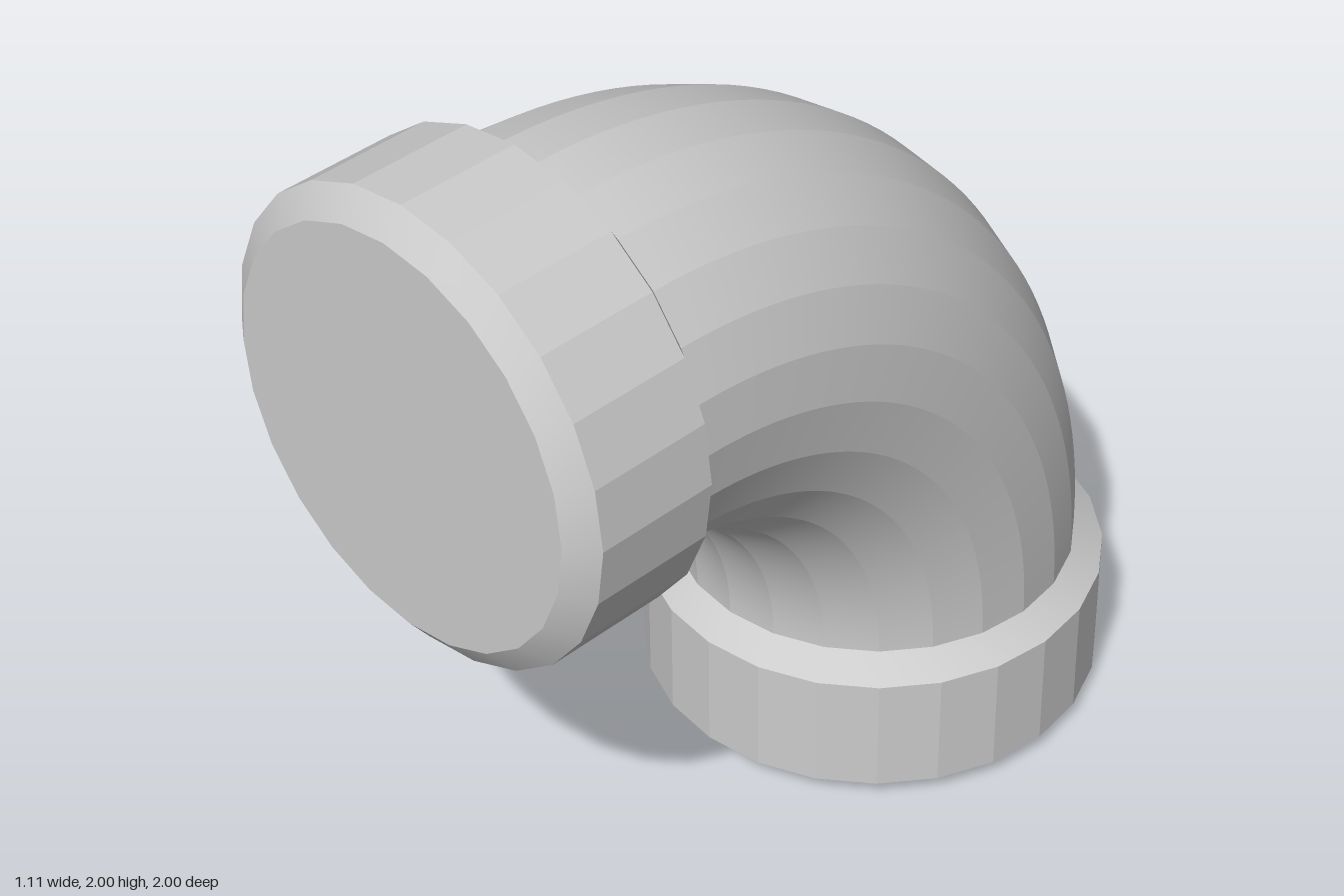
import * as THREE from 'three';
import { toCreasedNormals } from 'three/addons/utils/BufferGeometryUtils.js';

const SIDES = 24;
const BEND_RADIUS = 1.04;
const PIPE_RADIUS = 0.485;
const COLLAR_RADIUS = 0.556;
const COLLAR_LENGTH = 0.4;
const BEVEL = 0.05;
const CREASE = 0.2; // facets around the pipe stay sharp, the sweep stays smooth

export function createModel() {
  const group = new THREE.Group();
  const material = new THREE.MeshStandardMaterial({ color: 0xcccccc });

  const add = (name, geometry) => {
    const mesh = new THREE.Mesh(toCreasedNormals(geometry, CREASE), material);
    mesh.name = name;
    group.add(mesh);
    return mesh;
  };

  // Quarter-turn pipe, from the bottom collar up and round to the front collar
  const bend = new THREE.TorusGeometry(BEND_RADIUS, PIPE_RADIUS, SIDES, 40, Math.PI / 2);
  bend.rotateY(Math.PI / 2);
  add('elbowPipe', bend).position.set(0, COLLAR_LENGTH, 1 - COLLAR_LENGTH);

  // Closed collar with bevelled rims; its outer end lies at the origin
  const collar = () => new THREE.LatheGeometry([
    [0, 0],
    [0.49, 0],
    [COLLAR_RADIUS, BEVEL],
    [COLLAR_RADIUS, COLLAR_LENGTH - BEVEL],
    [PIPE_RADIUS, COLLAR_LENGTH],
    [0, COLLAR_LENGTH],
  ].map(([r, y]) => new THREE.Vector2(r, y)), SIDES);

  add('bottomCollar', collar()).position.z = 1 - COLLAR_LENGTH - BEND_RADIUS;

  const front = add('frontCollar', collar());
  front.rotation.x = -Math.PI / 2;
  front.position.set(0, COLLAR_LENGTH + BEND_RADIUS, 1);

  return group;
}
